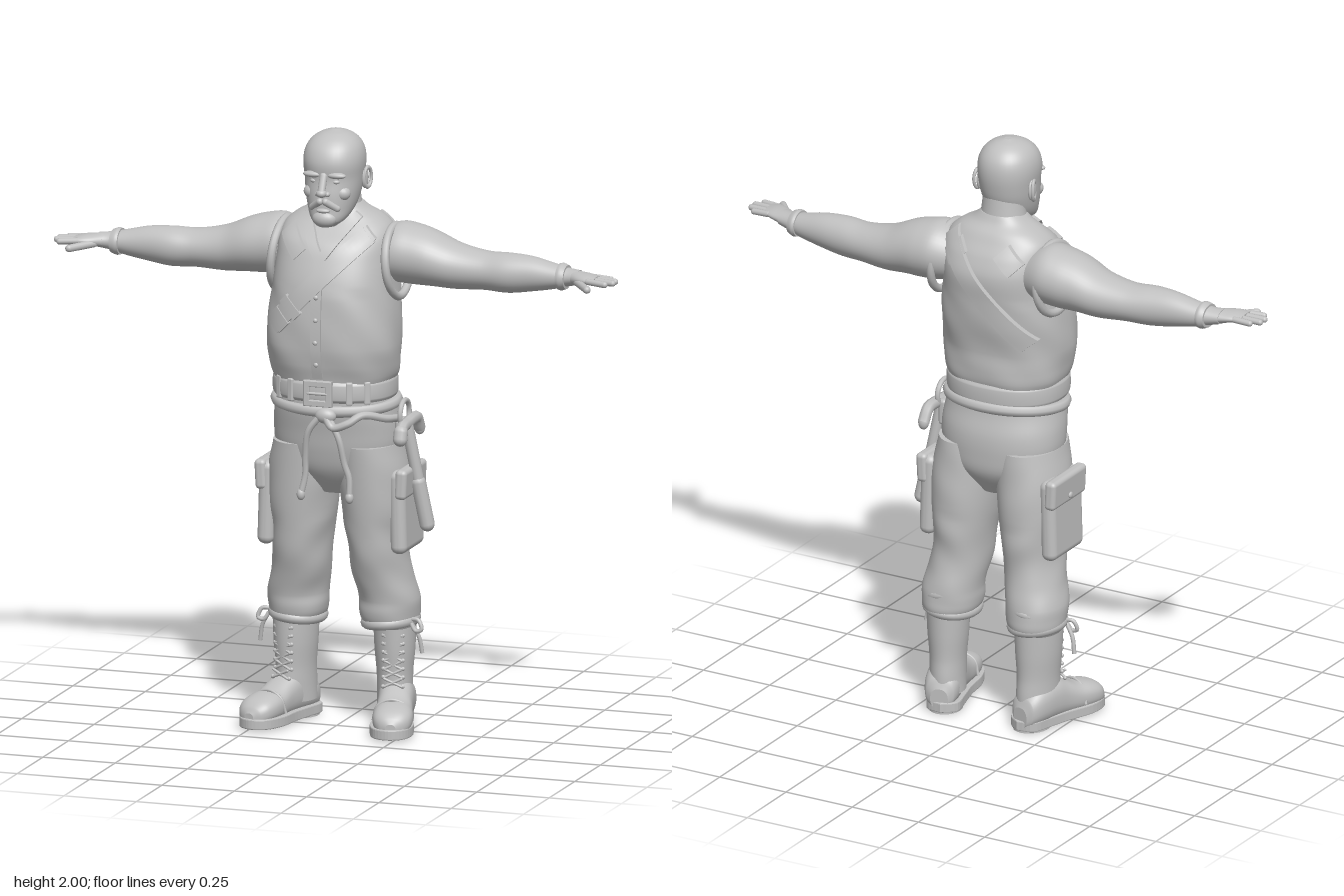
import * as THREE from 'three';
import { RoundedBoxGeometry } from 'three/addons/geometries/RoundedBoxGeometry.js';

const clay = new THREE.MeshStandardMaterial({ color: 0xc0c0c0, side: THREE.DoubleSide });
clay.name = 'clay grey';
const V = (x, y, z) => new THREE.Vector3(x, y, z);

// Smoothly interpolate the section rows [t, c1, r1, c2, r2] at t
function at(secs, t) {
  let i = 0;
  while (i < secs.length - 2 && t > secs[i + 1][0]) i++;
  const p = secs[i], q = secs[i + 1], o = secs[Math.max(i - 1, 0)], r = secs[Math.min(i + 2, secs.length - 1)];
  const h = q[0] - p[0], s = Math.min(Math.max((t - p[0]) / h, 0), 1);
  return [1, 2, 3, 4].map((k) => {
    const m0 = (q[k] - o[k]) / (q[0] - o[0]) * h, m1 = (r[k] - p[k]) / (r[0] - p[0]) * h;
    return (2 * s ** 3 - 3 * s * s + 1) * p[k] + (s ** 3 - 2 * s * s + s) * m0
      + (3 * s * s - 2 * s ** 3) * q[k] + (s ** 3 - s * s) * m1;
  });
}

// Loft superellipse sections along an axis (0 x, 1 y, 2 z); c1/r1 lie on the next axis, c2/r2 on the one after
function loft(axis, secs, n = 2, fold = () => 0, seg = 40, sub = 5) {
  const pos = [], idx = [], rows = (secs.length - 1) * sub;
  const put = (t, u, v) => {
    const p = [0, 0, 0];
    p[axis] = t; p[(axis + 1) % 3] = u; p[(axis + 2) % 3] = v;
    pos.push(...p);
  };
  const pw = (c) => Math.sign(c) * Math.abs(c) ** (2 / n);
  const ring = (t) => {
    const [c1, r1, c2, r2] = at(secs, t);
    for (let j = 0; j < seg; j++) {
      const a = j / seg * Math.PI * 2, f = 1 + fold(a, t);
      put(t, c1 + r1 * f * pw(Math.cos(a)), c2 + r2 * f * pw(Math.sin(a)));
    }
  };
  for (let i = 0; i <= rows; i++) {
    const k = Math.min(Math.floor(i / sub), secs.length - 2), s = i / sub - k;
    ring(secs[k][0] + (secs[k + 1][0] - secs[k][0]) * s);
    for (let j = 0; j < seg && i < rows; j++) {
      const a = i * seg + j, b = i * seg + (j + 1) % seg;
      idx.push(a, b, a + seg, b, b + seg, a + seg);
    }
  }
  for (const end of [0, secs.length - 1]) { // end caps
    const base = pos.length / 3, s = secs[end];
    ring(s[0]);
    put(s[0], s[1], s[3]);
    for (let j = 0; j < seg; j++) {
      const a = base + j, b = base + (j + 1) % seg;
      end ? idx.push(a, b, base + seg) : idx.push(b, a, base + seg);
    }
  }
  const g = new THREE.BufferGeometry();
  g.setAttribute('position', new THREE.Float32BufferAttribute(pos, 3));
  g.setIndex(idx);
  g.computeVertexNormals();
  return g;
}

function mirrored(g) {
  const m = g.clone().scale(-1, 1, 1);
  const a = m.index ? [...m.index.array] : Array.from({ length: m.attributes.position.count }, (_, i) => i);
  for (let i = 0; i < a.length; i += 3) [a[i], a[i + 1]] = [a[i + 1], a[i]];
  m.setIndex(a);
  return m;
}
const blob = (x, y, z, a, b, c) => new THREE.SphereGeometry(1, 20, 14).scale(a, b, c).translate(x, y, z);
const tube = (pts, r, closed = false) =>
  new THREE.TubeGeometry(new THREE.CatmullRomCurve3(pts.map((p) => V(...p)), closed), pts.length * 6, r, 8, closed);
function rod(p, q, r) {
  const a = V(...p), b = V(...q), d = b.clone().sub(a);
  return new THREE.CapsuleGeometry(r, d.length(), 5, 12)
    .applyQuaternion(new THREE.Quaternion().setFromUnitVectors(V(0, 1, 0), d.normalize()))
    .translate(...a.add(b).multiplyScalar(0.5));
}

const VEST = [[1.17, .01, .16, 0, .195], [1.2, .01, .168, 0, .207], [1.24, .015, .175, 0, .213], [1.3, .02, .18, 0, .219],
  [1.4, .01, .19, 0, .214], [1.5, 0, .19, 0, .202], [1.58, -.015, .18, 0, .196], [1.64, -.02, .155, 0, .19],
  [1.68, -.03, .12, 0, .178], [1.71, -.035, .095, 0, .145], [1.735, -.03, .075, 0, .1], [1.76, -.025, .065, 0, .07]];

// A flat strip bent onto the vest; side 1 is the chest, -1 the back
function patch(w, h, t, x, y, turn, side) {
  const g = new THREE.BoxGeometry(w, h, t, 28, 6, 1).rotateZ(turn).translate(x, y, 0);
  const p = g.attributes.position;
  for (let i = 0; i < p.count; i++) {
    const [c, r, , a] = at(VEST, p.getY(i)), k = Math.min(Math.abs(p.getX(i) / a), 1);
    p.setZ(i, c + side * r * (1 - k ** 2.4) ** (1 / 2.4) + p.getZ(i) + side * 0.006);
  }
  g.computeVertexNormals();
  return g;
}

export function createModel() {
  const model = new THREE.Group();
  const add = (name, g) => {
    const m = new THREE.Mesh(g, clay);
    m.name = name;
    model.add(m);
  };
  const both = (name, g) => { add(name + 'Left', g); add(name + 'Right', mirrored(g)); };

  // Head and face
  add('neck', loft(1, [[1.6, -.03, .08, 0, .1], [1.7, -.022, .077, 0, .086], [1.76, -.02, .07, 0, .076], [1.84, -.01, .07, 0, .07]]));
  const skull = [[1.695, .125, .06, .03], [1.715, .137, .015, .056], [1.75, .136, -.045, .075], [1.8, .134, -.078, .088],
    [1.85, .128, -.092, .095], [1.9, .132, -.097, .1], [1.94, .12, -.09, .094], [1.97, .095, -.07, .076],
    [1.99, .06, -.04, .046], [2, .02, -.005, .012]];
  add('head', loft(1, skull.map(([y, f, b, w]) => [y, (f + b) / 2, (f - b) / 2, 0, w]), 2.15));
  add('noseBridge', rod([0, 1.865, .128], [0, 1.815, .15], .013));
  add('noseTip', blob(0, 1.812, .149, .018, .014, .018));
  add('lowerLip', blob(0, 1.751, .134, .024, .008, .012));
  add('beard', blob(0, 1.722, .118, .042, .03, .03));
  both('nostril', blob(.016, 1.808, .138, .01, .009, .012));
  both('brow', blob(.04, 1.868, .118, .034, .011, .016).rotateZ(0));
  both('eye', blob(.037, 1.846, .113, .014, .008, .012));
  both('cheek', blob(.052, 1.805, .092, .028, .025, .026));
  both('moustache', rod([.01, 1.782, .138], [.042, 1.758, .116], .012));
  both('ear', blob(.097, 1.84, -.004, .01, .036, .022));
  both('earRim', new THREE.TorusGeometry(.024, .006, 8, 20).scale(.8, 1.35, 1).rotateY(1.25).translate(.105, 1.842, -.007));

  // Arms and hands
  both('arm', loft(0, [[.13, 1.58, .08, -.05, .09], [.2, 1.59, .1, -.058, .11], [.26, 1.585, .099, -.06, .11],
    [.32, 1.576, .091, -.058, .103], [.4, 1.557, .076, -.06, .088], [.5, 1.55, .064, -.055, .073], [.58, 1.55, .066, -.046, .067],
    [.66, 1.553, .058, -.044, .056], [.74, 1.552, .042, -.04, .045], [.79, 1.554, .03, -.035, .038], [.83, 1.557, .024, -.025, .038]]));
  both('wristBand', loft(0, [[.757, 1.553, .043, -.038, .049], [.768, 1.553, .045, -.038, .051], [.785, 1.553, .039, -.036, .047]]));
  both('palm', loft(0, [[.81, 1.556, .024, -.028, .037], [.84, 1.558, .021, -.014, .044], [.87, 1.56, .017, -.004, .046], [.9, 1.56, .011, .003, .042]]));
  [[-.037, -.034, .935], [-.014, -.009, .959], [.011, .019, .96], [.034, .047, .942]].forEach(([z0, z1, x], i) =>
    both('finger' + i, rod([.88, 1.56, z0], [x, 1.557, z1], .0105)));
  both('thumb', rod([.835, 1.55, .012], [.895, 1.545, .085], .0125));

  // Sleeveless vest with placket, buttons, collar and armholes
  add('vest', loft(1, VEST, 2.4, (a, y) => (y < 1.5 ? .012 * Math.sin(a * 5 + y * 26) * Math.sin(a * 2 + y * 9) : 0), 72));
  add('vestPlacket', patch(.4, .035, .008, 0, 1.4, Math.PI / 2, 1));
  for (let i = 0; i < 5; i++) {
    const y = 1.25 + i * .075, s = at(VEST, y);
    add('button' + i, blob(0, y, s[0] + s[1] + .01, .008, .008, .006));
  }
  both('collar', patch(.16, .03, .016, .046, 1.66, .98, 1));
  both('armhole', new THREE.TorusGeometry(.116, .014, 10, 40).scale(1.02, 1, 1).rotateY(Math.PI / 2).rotateZ(.1).translate(.198, 1.563, -.035));
  both('shoulderTabFront', patch(.1, .055, .02, .108, 1.64, .8, 1));
  both('shoulderTabBack', patch(.08, .055, .02, .1, 1.645, -.75, -1));

  // Chest strap from the left shoulder to the right ribs, front and back
  add('strapFront', patch(.43, .062, .022, -.012, 1.516, .79, 1));
  add('strapBuckle', patch(.035, .08, .034, -.09, 1.436, .79, 1));
  add('strapEnd', patch(.05, .07, .034, -.135, 1.39, .79, 1));
  add('strapBack', patch(.46, .062, .022, -.01, 1.52, .85, -1));

  // Belt, buckle and knotted sash
  add('belt', loft(1, [[1.118, .008, .166, 0, .2], [1.13, .01, .172, 0, .205], [1.175, .01, .172, 0, .205], [1.187, .01, .166, 0, .2]], 2.2, undefined, 56));
  const frame = new THREE.Shape([[-.046, -.04], [.046, -.04], [.046, .04], [-.046, .04]].map((p) => new THREE.Vector2(...p)));
  frame.holes.push(new THREE.Path([[-.03, -.025], [-.03, .025], [.03, .025], [.03, -.025]].map((p) => new THREE.Vector2(...p))));
  add('buckle', new THREE.ExtrudeGeometry(frame, { depth: .012, bevelSize: .003, bevelThickness: .003, bevelSegments: 2 }).translate(0, 1.15, .176));
  add('buckleTongue', rod([-.035, 1.15, .187], [.03, 1.15, .187], .005));
  [-.15, -.1, .1, .15].forEach((x, i) =>
    add('beltLoop' + i, new RoundedBoxGeometry(.022, .076, .02, 2, .005).rotateY(x * 3.5).translate(x, 1.152, .01 + .172 * Math.sqrt(1 - (x / .205) ** 2))));
  const sash = Array.from({ length: 20 }, (_, i) => {
    const a = i / 20 * Math.PI * 2;
    return [.2 * Math.sin(a), 1.098 - .012 * Math.cos(a), .157 * Math.cos(a)];
  });
  add('sash', tube(sash, .02, true));
  add('sashKnot', blob(.022, 1.075, .17, .036, .026, .024));
  add('cordRight', tube([[.01, 1.08, .175], [-.035, 1.02, .178], [-.05, .93, .165], [-.052, .87, .16], [-.065, .805, .165]], .011));
  add('cordLeft', tube([[.03, 1.08, .175], [.07, 1.0, .178], [.085, .92, .168], [.1, .87, .163], [.102, .805, .165]], .011));
  add('cordLoop', tube([[.02, 1.08, .18], [.05, 1.04, .185], [.1, 1.055, .18], [.14, 1.08, .15], [.2, 1.06, .08], [.215, 1.05, .02]], .013));
  add('cordTips', blob(-.065, .805, .165, .014, .02, .014));
  add('cordTipLeft', blob(.102, .805, .165, .014, .02, .014));

  // Trousers with gathered cuffs
  const crease = (a, y) => .022 * Math.sin(y * 42 + a * 2) * Math.sin(a * 1.5) ** 2 * (y < .7 ? 1 : .4);
  add('trouserSeat', loft(1, [[.79, -.03, .08, 0, .06], [.87, -.028, .135, 0, .17], [.94, -.022, .152, 0, .207], [1.01, -.015, .158, 0, .212],
    [1.08, 0, .157, 0, .204], [1.14, .005, .155, 0, .195]], 2.2, undefined, 56));
  both('trouserLeg', loft(1, [[.335, -.08, .088, .165, .078], [.355, -.08, .105, .16, .092], [.39, -.077, .112, .158, .097], [.43, -.075, .112, .157, .098],
    [.5, -.058, .113, .143, .097], [.58, -.045, .124, .132, .093], [.66, -.042, .132, .128, .1], [.75, -.037, .139, .126, .111],
    [.85, -.03, .143, .121, .114], [.96, -.02, .145, .112, .1]], 2.1, crease, 48));
  for (const [i, y] of [.352, .415].entries()) {
    both('cuffRoll' + i, new THREE.TorusGeometry(1, .16, 10, 40).rotateX(Math.PI / 2).scale(.084, .11, .096).rotateZ(i ? -.16 : .1).translate(.16, y, -.077));
  }
  both('cargoPocket', new RoundedBoxGeometry(.056, .28, .205, 4, .026).rotateZ(.03).translate(.227, .74, -.038));
  both('pocketFlap', new RoundedBoxGeometry(.04, .1, .215, 3, .015).rotateZ(-.05).translate(.242, .835, -.038));
  both('pocketButton', blob(.262, .81, -.038, .006, .011, .011));
  both('cuffTie', tube([[.235, .365, -.04], [.27, .365, -.035], [.282, .335, -.03], [.262, .33, -.03], [.245, .355, -.035], [.27, .31, -.04], [.28, .255, -.045]], .007));

  // Boots, turned outward
  const boot = (name, g) => both(name, g.rotateY(.26).translate(.17, 0, -.09));
  boot('bootShaft', loft(1, [[.06, -.005, .078, 0, .06], [.12, 0, .083, 0, .059], [.18, .002, .081, 0, .06], [.26, .003, .086, 0, .067], [.36, .003, .09, 0, .071]]));
  const upper = [[-.09, .085, .03], [-.075, .12, .05], [-.03, .15, .06], [.04, .165, .059], [.09, .142, .058], [.14, .117, .062],
    [.19, .108, .066], [.23, .096, .06], [.255, .078, .042], [.268, .058, .018]];
  boot('bootFoot', loft(2, upper.map(([z, h, w]) => [z, .005 + w * .04, w, (h + .015) / 2, (h - .015) / 2]), 2.4));
  const outline = new THREE.Shape();
  outline.setFromPoints(new THREE.SplineCurve([[0, .097], [-.05, .07], [-.055, 0], [-.056, -.08], [-.066, -.17], [-.05, -.245], [0, -.275],
    [.052, -.25], [.072, -.18], [.06, -.08], [.056, 0], [.05, .07], [0, .097]].map((p) => new THREE.Vector2(...p))).getPoints(60));
  boot('sole', new THREE.ExtrudeGeometry(outline, { depth: .026, bevelSize: .003, bevelThickness: .004, bevelSegments: 2 }).rotateX(-Math.PI / 2).translate(0, .01, 0));
  boot('heel', new THREE.CylinderGeometry(.056, .056, .02, 28).scale(1, 1, 1.2).translate(0, .01, -.028));
  boot('toeSeam', tube([[-.06, .045, .15], [-.045, .095, .158], [0, .116, .16], [.052, .095, .158], [.07, .045, .15]], .005));
  for (let i = 0; i < 7; i++) {
    const y = .145 + i * .028, z = .089 + (i < 1 ? .014 : 0);
    for (const s of [-1, 1]) {
      boot('lace' + i + (s > 0 ? 'A' : 'B'), rod([-.028 * s, y, z - .008], [.028 * s, y + .026, z - .008], .0045));
      boot('eyelet' + i + (s > 0 ? 'A' : 'B'), blob(.032 * s, y, z - .012, .007, .007, .006));
    }
  }

  // Hammer hung from a ring on the left hip
  add('hammerRing', new THREE.TorusGeometry(.045, .009, 8, 28).rotateY(Math.PI / 2).translate(.232, 1.06, -.008));
  add('hammerHandle', rod([.243, 1.02, -.004], [.298, .7, -.034], .02));
  add('hammerGrip', rod([.275, .83, -.022], [.3, .69, -.036], .025));
  add('hammerHead', tube([[.243, 1.0, .068], [.243, 1.025, .045], [.243, 1.03, 0], [.243, 1.034, -.05], [.243, 1.03, -.095], [.243, .99, -.125]], .02));
  add('hammerFace', rod([.243, .99, .066], [.243, 1.012, .06], .024));
  add('hammerClawTip', blob(.243, .99, -.124, .018, .024, .016));
  add('hammerHolster', new RoundedBoxGeometry(.03, .09, .07, 3, .012).translate(.222, 1.0, -.01));
  return model;
}
